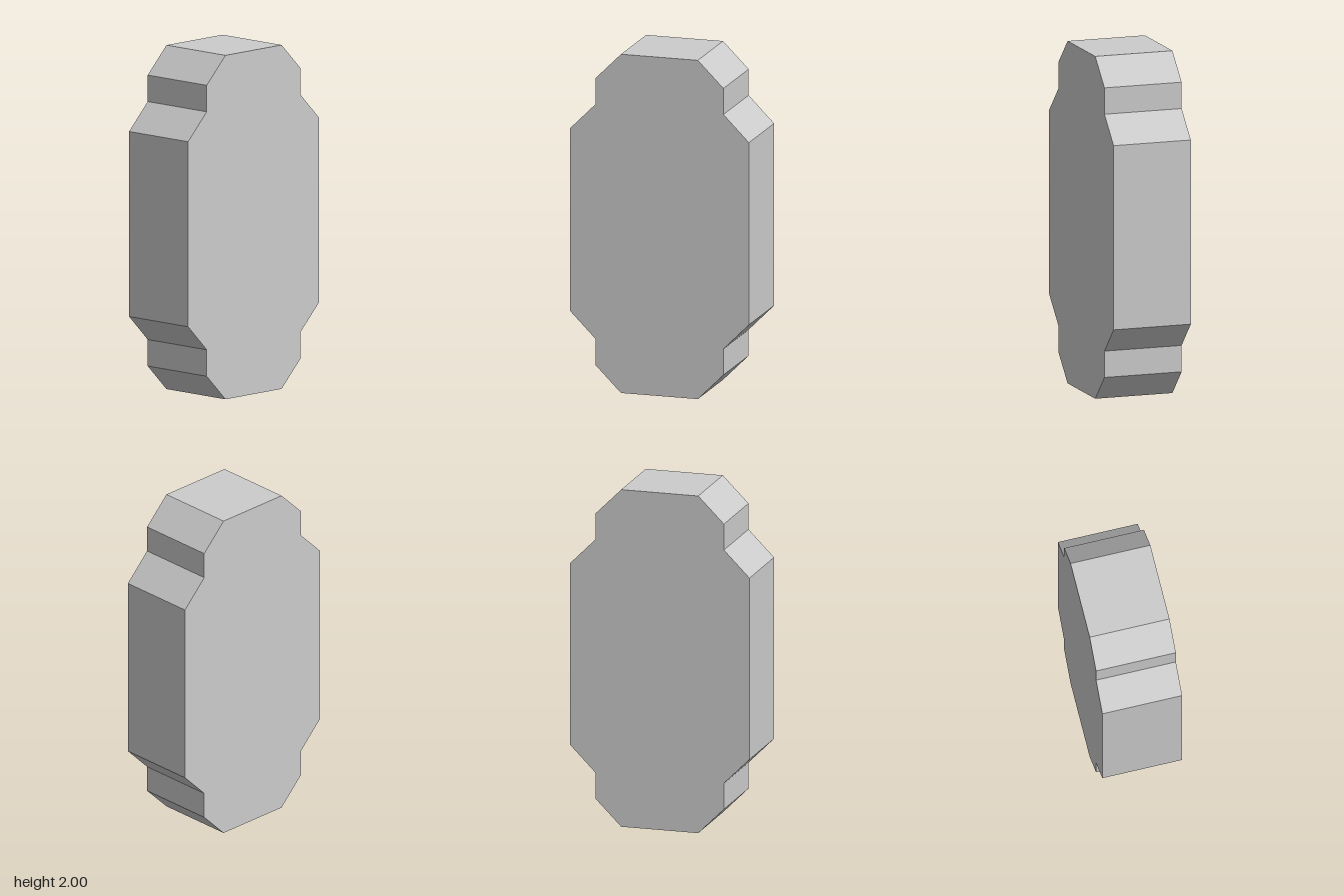
import * as THREE from 'three';

export function createModel() {
  const group = new THREE.Group();
  group.name = 'steppedPlate';

  // Upper right quarter of the outline, measured from the plate's centre
  const quarter = [[0.538, 0.538], [0.385, 0.692], [0.385, 0.846], [0.231, 1]];
  const back = [...quarter].reverse();

  // Mirror the quarter into a full counter-clockwise outline
  const outline = [
    ...quarter,
    ...back.map(([x, y]) => [-x, y]),
    ...quarter.map(([x, y]) => [-x, -y]),
    ...back.map(([x, y]) => [x, -y]),
  ].map(([x, y]) => new THREE.Vector2(x, y + 1));

  // Plate: the outline extruded along z
  const depth = 0.47;
  const geometry = new THREE.ExtrudeGeometry(new THREE.Shape(outline), { depth, bevelEnabled: false });
  geometry.translate(0, 0, -depth / 2);

  const material = new THREE.MeshStandardMaterial({ color: 0xcccccc, flatShading: true });
  const plate = new THREE.Mesh(geometry, material);
  plate.name = 'plate';
  group.add(plate);
  return group;
}
